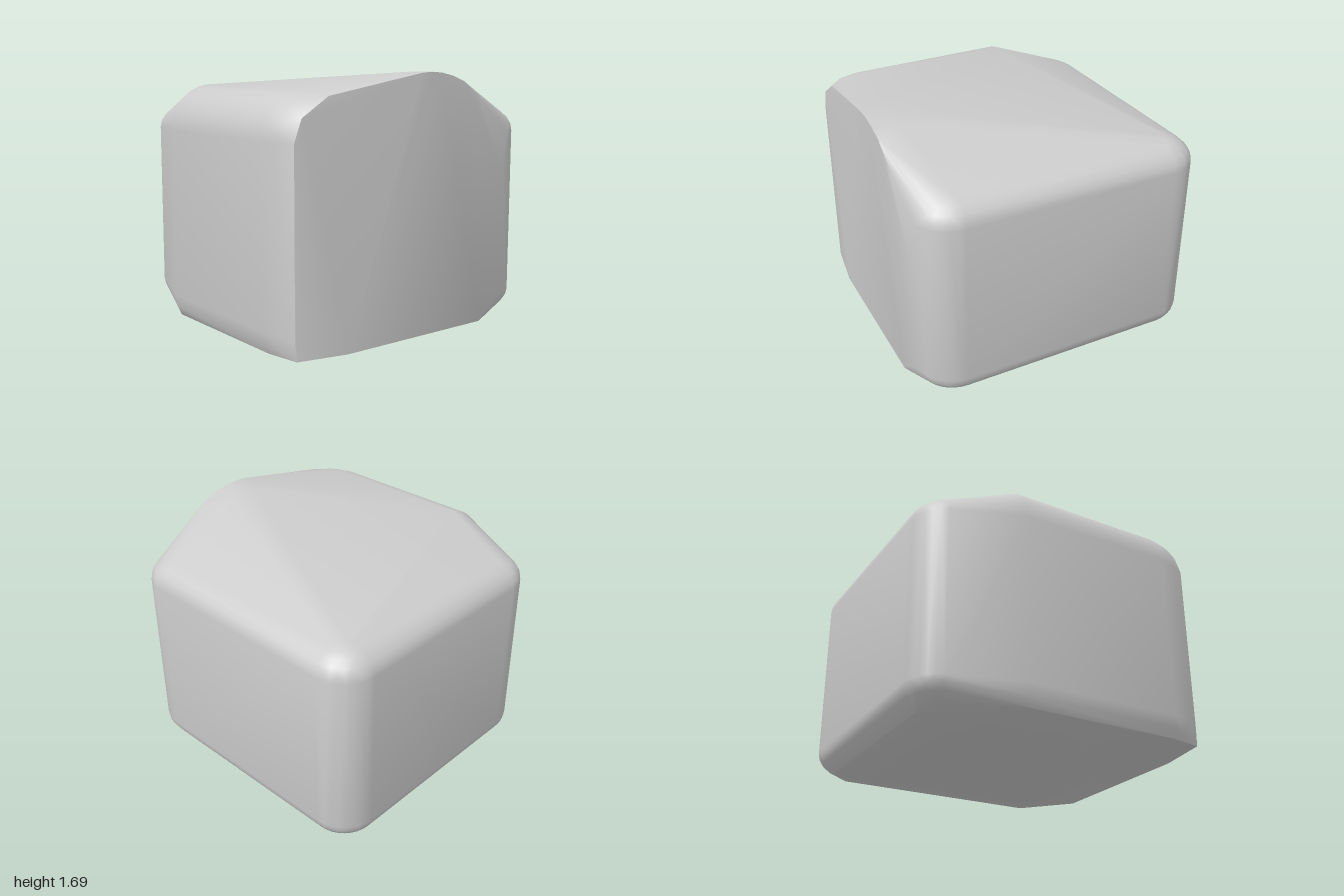
import * as THREE from 'three';
import { ConvexGeometry } from 'three/addons/geometries/ConvexGeometry.js';
import { toCreasedNormals } from 'three/addons/utils/BufferGeometryUtils.js';

const stone = new THREE.MeshStandardMaterial({ color: 0xcccccc });
stone.name = 'stone grey';

export function createModel() {
  const points = [];
  const add = (x, y, z) => points.push(new THREE.Vector3(x, y, z));

  // Rounded vertical edge: two ellipsoid caps spanning a quarter turn from angle a
  const column = (cx, cz, rx, rz, a, yLow, yHigh) => {
    for (let i = 0; i <= 8; i++) {
      const t = a + (i / 8) * Math.PI / 2;
      for (let j = 0; j <= 6; j++) {
        const p = (j / 6) * Math.PI / 2;
        const x = cx + rx * Math.cos(t) * Math.cos(p);
        const z = cz + rz * Math.sin(t) * Math.cos(p);
        add(x, yHigh + 0.17 * Math.sin(p), z);
        const low = yLow - 0.16 * Math.sin(p);
        if (low > 0.045) add(x, low, z);
      }
    }
  };
  column(-0.74, -0.76, 0.24, 0.24, Math.PI, 0.19, 1.29);       // back left
  column(-0.73, 0.6, 0.25, 0.26, Math.PI / 2, 0.19, 1.29);     // front left
  column(0.7, -0.77, 0.25, 0.23, -Math.PI / 2, 0.19, 1.29);    // back right

  // Front panel with a broad rounded shoulder and a small rounded foot
  const shoulder = (x, z, y, rz, ry, steps) => {
    for (let i = 0; i <= steps; i++) {
      const t = (i / steps) * Math.PI * 0.46;
      add(x, y + ry * Math.sin(t), z + rz * Math.cos(t));
    }
  };
  shoulder(-0.36, 0.7, 1.3, 0.3, 0.3, 9);
  shoulder(0.7, 0.7, 1.3, 0.3, 0.29, 9);
  shoulder(0.82, 0.68, 1.3, 0.295, 0.28, 9);
  for (const [x, z] of [[-0.36, 1], [0.7, 1], [0.82, 0.975]]) {
    add(x, 0.18, z);
    add(x, 0.1, z - 0.012);
    add(x, 0.04, z - 0.04);
  }

  // Sharp rim of the right face
  add(0.92, 0.15, 0.93);
  add(0.92, 1.3, 0.93);
  add(0.923, 1.44, 0.88);
  add(0.925, 1.56, 0.69);
  add(0.925, 0.04, 0.92);
  add(0.97, 0.03, 0.58);
  add(0.97, 0.03, -0.55);
  add(0.97, 0.19, -0.75);
  add(0.97, 1.05, -0.75);
  add(0.97, 1.55, -0.48);

  // Rounded crest of the top
  for (const [z, y] of [[0, 1.685], [-0.08, 1.69], [-0.16, 1.685], [-0.26, 1.665], [-0.36, 1.63]]) {
    add(0.97, y, z);
    add(0.8, y, z);
  }

  // Shallow underside
  for (const [x, z] of [[-0.6, 0.35], [0.5, 0.5], [0.5, -0.65], [-0.55, -0.6]]) add(x, 0, z);
  add(-0.88, 0.035, 0.6);
  add(-0.88, 0.035, -0.75);
  add(-0.74, 0.035, -0.88);
  add(0.7, 0.035, -0.88);

  const block = new THREE.Mesh(toCreasedNormals(new ConvexGeometry(points), 0.6), stone);
  block.name = 'roundedStone';
  const model = new THREE.Group();
  model.name = 'stone';
  model.add(block);
  return model;
}
